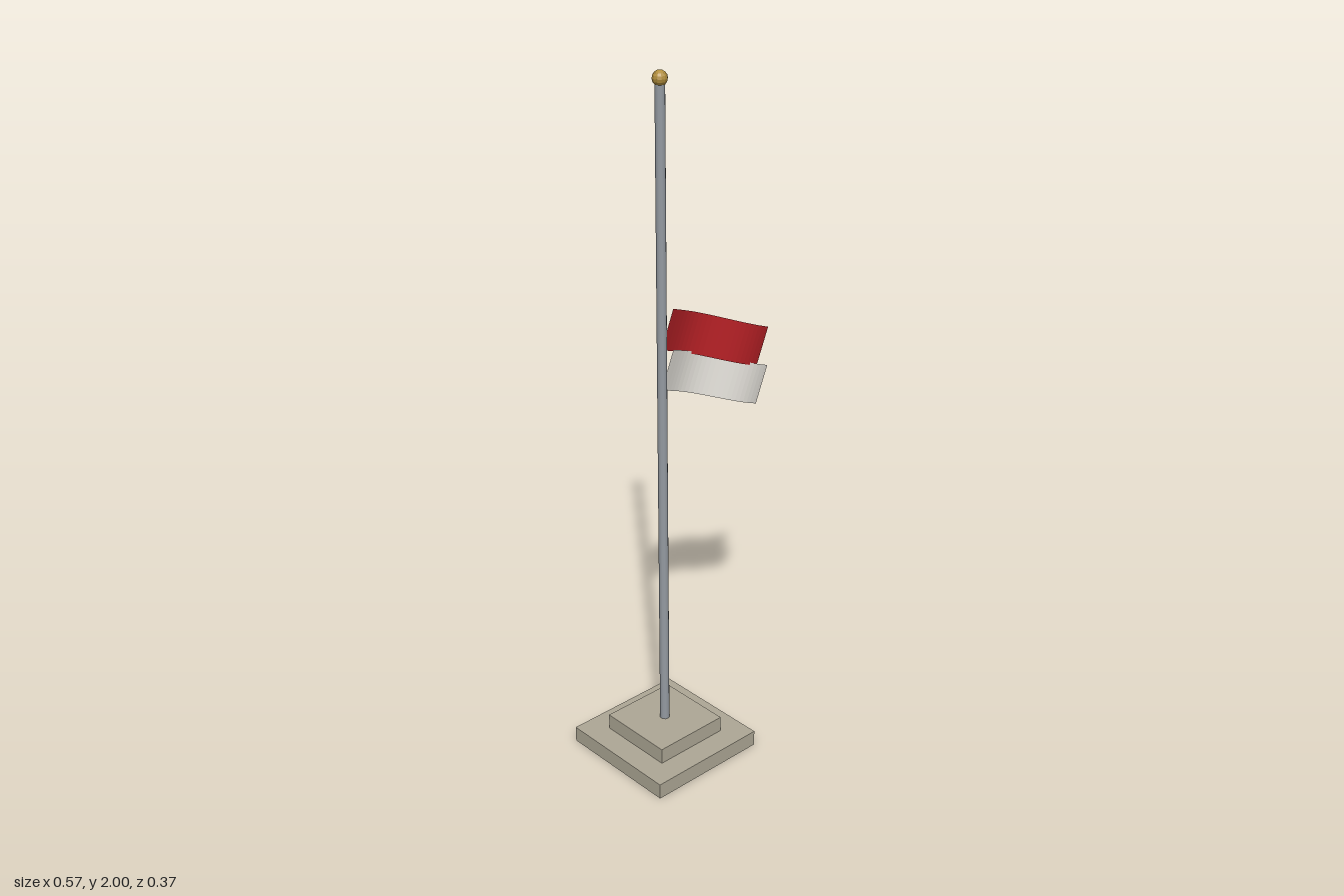
import * as THREE from 'three';

const POLE_X = -0.103;

function material(name, color, side = THREE.FrontSide, flatShading = false) {
  const m = new THREE.MeshStandardMaterial({ color, side, flatShading });
  m.name = name;
  return m;
}

// Cloth strip with its top-left corner at the origin, rippling along its length
function stripGeometry(length, height) {
  const geo = new THREE.PlaneGeometry(length, height, 24, 1);
  geo.translate(length / 2, -height / 2, 0);
  const p = geo.attributes.position;
  for (let i = 0; i < p.count; i++) {
    p.setZ(i, -0.001 - 0.0185 * Math.sin((p.getX(i) - 0.012) * 2 * Math.PI / 0.41));
  }
  geo.computeVertexNormals();
  return geo;
}

export function createModel() {
  const model = new THREE.Group();
  model.name = 'flagpole';

  const stone = material('stone', 0xaea896);
  const steel = material('steel', 0x959ba2);
  const brass = material('brass', 0xb08d3c, THREE.FrontSide, true);
  const red = material('red cloth', 0xb52025, THREE.DoubleSide, true);
  const white = material('white cloth', 0xeae7e0, THREE.DoubleSide, true);

  const add = (name, geometry, mat, x, y) => {
    const mesh = new THREE.Mesh(geometry, mat);
    mesh.name = name;
    mesh.position.set(x, y, 0);
    model.add(mesh);
    return mesh;
  };

  // Stepped plinth
  add('lowerStep', new THREE.BoxGeometry(0.373, 0.047, 0.373), stone, POLE_X, 0.0235);
  add('upperStep', new THREE.BoxGeometry(0.232, 0.047, 0.232), stone, POLE_X, 0.0705);

  // Pole and ball finial
  add('pole', new THREE.CylinderGeometry(0.0135, 0.014, 1.88, 12), steel, POLE_X, 1.033);
  add('finial', new THREE.SphereGeometry(0.0205, 12, 8), brass, POLE_X, 1.9795);

  // Drooping flag: two tilted strips, one below the other
  const strip = stripGeometry(0.377, 0.114);
  for (const [name, mat, y] of [['flagRedStrip', red, 1.365], ['flagWhiteStrip', white, 1.249]]) {
    add(name, strip, mat, -0.064, y).rotation.z = -0.388;
  }

  return model;
}
